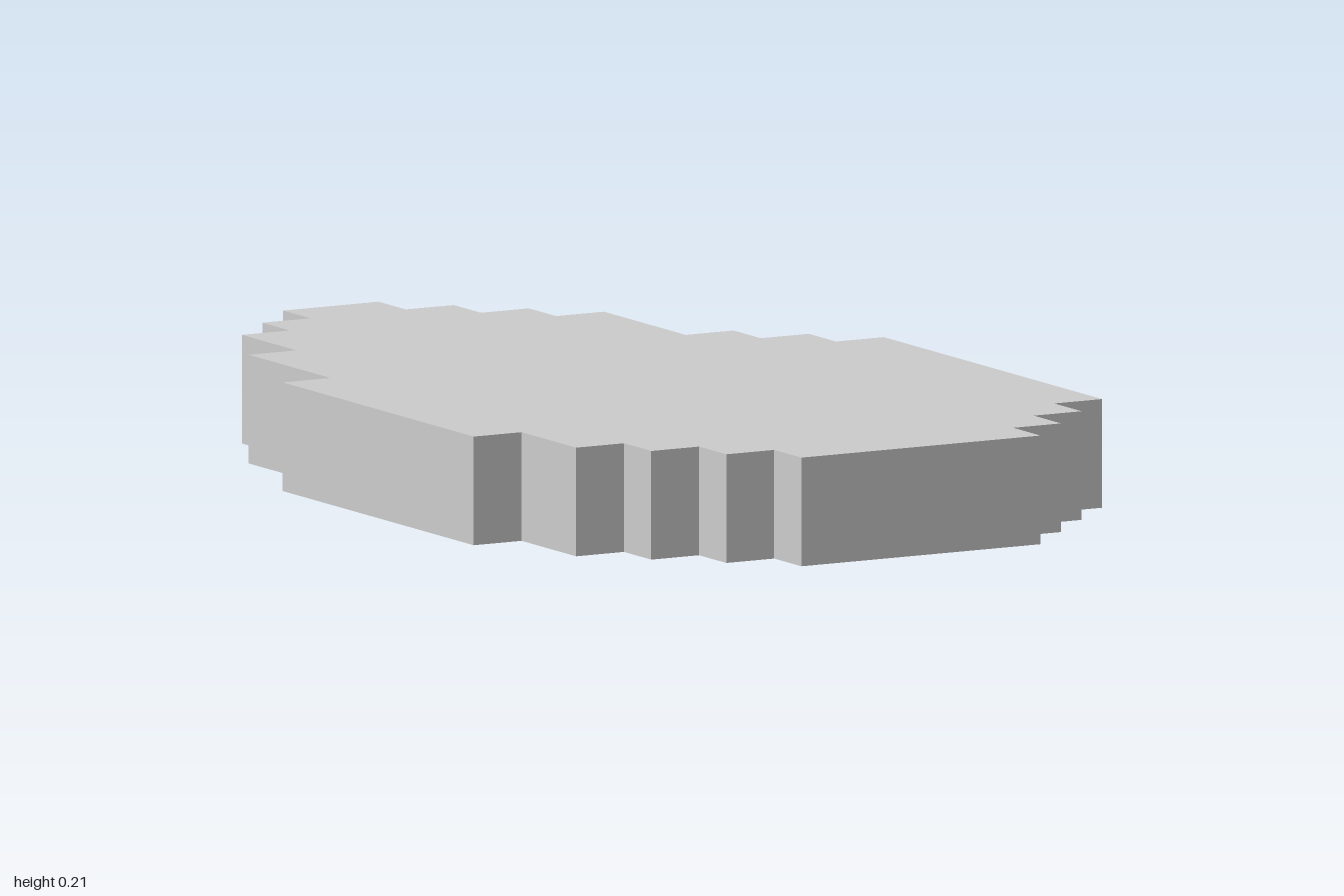
import * as THREE from 'three';

const CELL = 2 / 19;        // size of one grid step
const COLUMNS = 12;
const ROWS = 19;
const THICKNESS = 2 * CELL;

// Runs of rows from back to front: [edge column, number of rows]
const RIGHT_EDGE = [[4, 1], [3, 1], [2, 2], [1, 3], [0, 7], [1, 2], [2, 1], [3, 1], [4, 1]];
const LEFT_EDGE = [[6, 1], [7, 1], [8, 1], [9, 3], [10, 1], [11, 1], [12, 8], [11, 1], [10, 1], [9, 1]];

// Corner points of a stepped edge, from back to front
function steppedEdge(runs) {
  const points = [];
  let row = 0;
  for (const [column, count] of runs) {
    for (const r of [row, row + count]) {
      points.push(new THREE.Vector2((column - COLUMNS / 2) * CELL, (ROWS / 2 - r) * CELL));
    }
    row += count;
  }
  return points;
}

export function createModel() {
  const group = new THREE.Group();
  group.name = 'steppedSlab';

  // Stepped outline, extruded upwards into a flat slab
  const outline = new THREE.Shape([...steppedEdge(RIGHT_EDGE), ...steppedEdge(LEFT_EDGE).reverse()]);
  const geometry = new THREE.ExtrudeGeometry(outline, { depth: THICKNESS, bevelEnabled: false });
  geometry.rotateX(-Math.PI / 2);

  const material = new THREE.MeshStandardMaterial({ color: 0xcccccc, flatShading: true });
  const slab = new THREE.Mesh(geometry, material);
  slab.name = 'slab';
  group.add(slab);
  return group;
}
